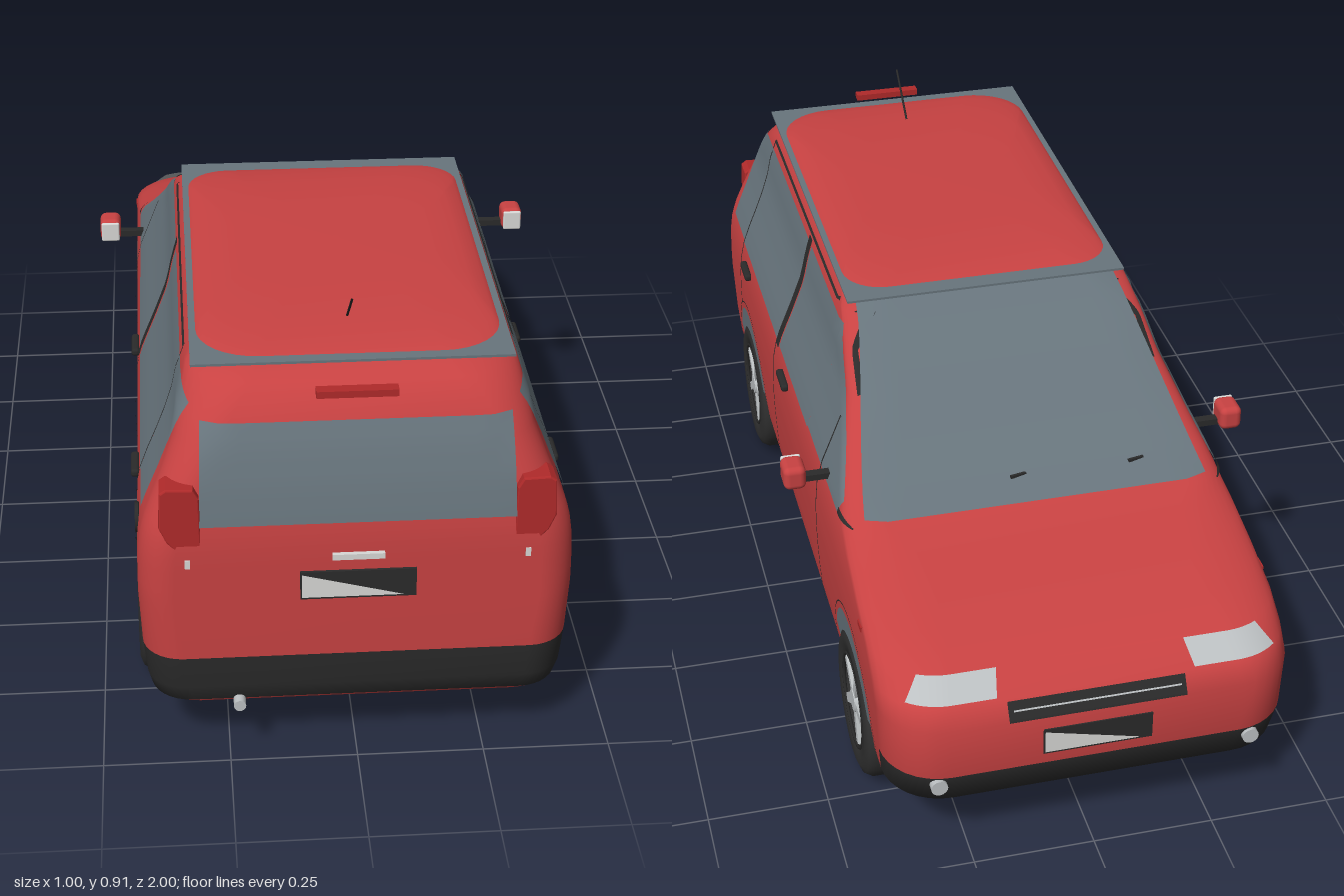
import * as THREE from 'three';
import { RoundedBoxGeometry } from 'three/addons/geometries/RoundedBoxGeometry.js';

const mat = (name, color) => new THREE.MeshStandardMaterial({ name, color, side: THREE.DoubleSide });

// Body as horizontal slices: y, half width, nose z, tail z, nose corner radius, tail corner radius
const SLICES = [
  [.115, .385, -.82, .955, .10, .08], [.13, .4, -.9, .972, .12, .08],
  [.165, .408, -.98, .982, .12, .08], [.235, .415, -1, .985, .12, .08],
  [.35, .42, -1, .985, .12, .07], [.39, .42, -.975, .985, .13, .07],
  [.43, .419, -.92, .985, .14, .07], [.46, .417, -.83, .985, .15, .07],
  [.49, .413, -.72, .984, .15, .07], [.51, .408, -.63, .982, .13, .07],
  [.53, .402, -.56, .98, .09, .07], [.56, .39, -.485, .975, .06, .07],
  [.61, .369, -.4, .965, .05, .07], [.68, .342, -.3, .945, .05, .08],
  [.74, .329, -.21, .92, .05, .1], [.78, .317, -.135, .885, .06, .12],
  [.80, .30, -.085, .845, .08, .12], [.812, .285, -.04, .79, .1, .12],
  [.82, .255, .04, .7, .1, .12], [.825, .2, .15, .55, .1, .1],
];

function sliceAt(y) {
  let i = 0;
  while (i < SLICES.length - 2 && SLICES[i + 1][0] < y) i++;
  const a = SLICES[i], b = SLICES[i + 1];
  const t = THREE.MathUtils.clamp((y - a[0]) / (b[0] - a[0]), 0, 1);
  return a.map((v, k) => v + (b[k] - v) * t);
}
const inset = (r, d) => (d <= 0 ? 0 : r - Math.sqrt(Math.max(0, r * r - d * d)));
function sideX(y, z) {
  const [, w, zf, zr, rf, rr] = sliceAt(y);
  return w - inset(rf, zf + rf - z) - inset(rr, z - zr + rr);
}
function noseZ(y, x) {
  const [, w, zf, , rf] = sliceAt(y);
  return zf + inset(rf, Math.abs(x) - w + rf);
}
function tailZ(y, x) {
  const [, w, , zr, , rr] = sliceAt(y);
  return zr - inset(rr, Math.abs(x) - w + rr);
}

const ARC = 8, SIDE = 6;
function sliceLoop([y, w, zf, zr, rf, rr]) {
  const half = [[0, zr]];
  for (let i = 0; i <= ARC; i++) {
    const a = i / ARC * Math.PI / 2;
    half.push([w - rr + rr * Math.sin(a), zr - rr + rr * Math.cos(a)]);
  }
  for (let i = 1; i < SIDE; i++) half.push([w, THREE.MathUtils.lerp(zr - rr, zf + rf, i / SIDE)]);
  for (let i = 0; i <= ARC; i++) {
    const a = i / ARC * Math.PI / 2;
    half.push([w - rf + rf * Math.cos(a), zf + rf - rf * Math.sin(a)]);
  }
  half.push([0, zf]);
  const mirrored = half.slice(1, -1).reverse().map(([x, z]) => [-x, z]);
  return [...half, ...mirrored].map(([x, z]) => [x, y, z]);
}

// Painted shell: material 0 body, 1 bumper and sill
function shellGeometry() {
  const loops = SLICES.map(sliceLoop), n = loops[0].length;
  const pos = loops.flat(2), lists = [[], []];
  const halfCols = n / 2;
  for (let i = 0; i < loops.length - 1; i++) for (let j = 0; j < n; j++) {
    const y = (SLICES[i][0] + SLICES[i + 1][0]) / 2;
    const c = j < halfCols ? j : n - 1 - j;
    const tail = c <= ARC, nose = c > ARC + SIDE;
    const dark = tail ? y > .13 && y < .235 : nose ? y > .165 && y < .235 : y < .165;
    const k = (j + 1) % n, a = i * n + j, b = i * n + k;
    lists[dark ? 1 : 0].push(a, b, b + n, a, b + n, a + n);
  }
  // Roof crown
  const top = (loops.length - 1) * n, mid = pos.length / 3;
  pos.push(0, .826, .35);
  for (let j = 0; j < n; j++) lists[0].push(top + j, top + (j + 1) % n, mid);
  const g = new THREE.BufferGeometry();
  g.setAttribute('position', new THREE.Float32BufferAttribute(pos, 3));
  g.setIndex([...lists[0], ...lists[1]]);
  g.addGroup(0, lists[0].length, 0);
  g.addGroup(lists[0].length, lists[1].length, 1);
  g.computeVertexNormals();
  return g;
}

// Thin sheet from a function of u, v in 0..1
function sheet(nu, nv, f) {
  const pos = [], idx = [];
  for (let i = 0; i <= nu; i++) for (let j = 0; j <= nv; j++) {
    pos.push(...f(i / nu, j / nv));
    if (i < nu && j < nv) {
      const a = i * (nv + 1) + j, b = a + nv + 1;
      idx.push(a, b, b + 1, a, b + 1, a + 1);
    }
  }
  const g = new THREE.BufferGeometry();
  g.setAttribute('position', new THREE.Float32BufferAttribute(pos, 3));
  g.setIndex(idx);
  g.computeVertexNormals();
  return g;
}

export function createModel() {
  const car = new THREE.Group();
  const red = mat('body red', 0xc84242), glass = mat('window grey', 0x68757d), black = mat('trim black', 0x2a2a2a);
  const tyreMat = mat('tyre black', 0x303030), floorMat = mat('underside black', 0x1c1c1c);
  const lampRed = mat('lamp red', 0xb02a2a), silver = mat('silver', 0xbcc0c2), white = mat('plate white', 0xd8d8d6);
  const add = (name, geo, m, x = 0, y = 0, z = 0, parent = car) => {
    const mesh = new THREE.Mesh(geo, m);
    mesh.name = name;
    mesh.position.set(x, y, z);
    parent.add(mesh);
    return mesh;
  };
  const box = (name, m, w, h, d, x, y, z, parent) => add(name, new THREE.BoxGeometry(w, h, d), m, x, y, z, parent);
  const { lerp } = THREE.MathUtils;

  // Shell, floor and roof frame
  add('bodyShell', shellGeometry(), [red, black]);
  const floorShape = new THREE.Shape(sliceLoop(SLICES[0]).map(([x, , z]) => new THREE.Vector2(x, z)));
  add('floor', new THREE.ShapeGeometry(floorShape), floorMat, 0, .115, 0).rotation.x = Math.PI / 2;
  box('roofFrame', glass, .615, .005, .96, 0, .802, .37);
  box('frontLip', black, .72, .006, .12, 0, .117, -.81);

  // Panels lying on the nose and tail
  const nosePanel = (name, m, xa, xb, y0, y1, o = .004) => add(name, sheet(16, 12, (u, v) => {
    const x = lerp(xa(v), xb(v), u), y = lerp(y0, y1, v);
    return [x, y + o, noseZ(y, x) - o];
  }), m);
  nosePanel('windscreen', glass, v => lerp(-.365, -.285, v), v => lerp(.365, .285, v), .535, .795);
  nosePanel('grille', black, () => -.18, () => .18, .348, .385, .003);
  nosePanel('grilleBar', silver, () => -.17, () => .17, .366, .369, .005);
  add('rearWindow', sheet(16, 8, (u, v) => {
    const x = lerp(-.3, .3, u) * lerp(1, .98, v), y = lerp(.53, .722, v);
    return [x, y, tailZ(y, x) + .005];
  }), glass);

  // Both sides
  const aPillar = z => Math.min(.765, .765 + .64 * (z + .13));
  for (const s of [1, -1]) {
    const sidePanel = (name, m, z0, z1, lo, hi, o = .004) => add(name, sheet(12, 10, (u, v) => {
      const z = lerp(z0, z1, u), y = lerp(lo(z), hi(z), v);
      return [s * (sideX(y, z) + o), y, z];
    }), m);
    const at = y => () => y;
    sidePanel('rearSideWindow', glass, .88, .735, at(.52), z => .765 - Math.max(0, z - .8) * .3);
    sidePanel('rearDoorWindow', glass, .735, .25, at(.515), at(.765));
    sidePanel('frontDoorWindow', glass, .22, -.13, at(.515), at(.765));
    sidePanel('frontQuarterWindow', glass, -.13, -.47, at(.52), aPillar);
    sidePanel('centrePillar', black, .25, .22, at(.51), at(.78), .006);
    sidePanel('cowlCorner', black, -.47, -.54, at(.523), z => .535 + (z + .47) * .15, .006);
    for (const [z, lo, hi] of [[.73, .34, .785], [.25, .16, .51], [-.29, .16, .69]])
      sidePanel('doorGap', black, z + .003, z - .003, at(lo), at(hi), .005);
    sidePanel('doorTopGap', black, .73, -.12, at(.782), at(.787), .005);
    sidePanel('pillarGap', black, -.12, -.29, z => aPillar(z) + .018, z => aPillar(z) + .023, .005);
    for (const z of [.65, .13]) add('doorHandle', new RoundedBoxGeometry(.018, .018, .08, 2, .007), black, s * .421, .478, z);
    box('sideIndicator', lampRed, .006, .012, .03, s * .418, .435, -.74);

    // Wheel arches and wheels
    for (const z0 of [.63, -.64]) {
      const arch = (name, m, r0, r1, a0, a1, o) => add(name, sheet(24, 2, (u, v) => {
        const a = lerp(a0, a1, u), r = lerp(r0, r1, v);
        const y = .165 + r * Math.sin(a), z = z0 + r * Math.cos(a);
        return [s * (sideX(y, z) + o), y, z];
      }), m);
      arch('archGap', glass, .14, .192, .4, Math.PI - .4, .003);
      arch('archLine', black, .206, .209, .05, Math.PI - .05, .003);
      const wheel = new THREE.Group();
      wheel.name = z0 > 0 ? 'rearWheel' : 'frontWheel';
      wheel.position.set(s * .378, .162, z0);
      wheel.rotation.z = -s * Math.PI / 2;
      car.add(wheel);
      const tyre = [[.1, -.045], [.135, -.047], [.152, -.04], [.161, -.025], [.161, .025], [.152, .04], [.135, .047], [.104, .044], [.1, .03]];
      add('tyre', new THREE.LatheGeometry(tyre.map(p => new THREE.Vector2(...p)), 40), tyreMat, 0, 0, 0, wheel);
      add('rimBack', new THREE.CylinderGeometry(.102, .102, .06, 32), s > 0 ? black : silver, 0, .001, 0, wheel);
      add('rimEdge', new THREE.TorusGeometry(.1, .004, 6, 36), s > 0 ? black : silver, 0, .042, 0, wheel).rotation.x = Math.PI / 2;
      add('hub', new THREE.CylinderGeometry(.024, .028, .012, 16), silver, 0, .038, 0, wheel);
      for (let i = 0; i < 5; i++) {
        const spoke = new THREE.Group();
        spoke.name = 'spoke';
        spoke.rotation.y = i / 5 * Math.PI * 2 + .3;
        wheel.add(spoke);
        box('spokeBar', silver, .078, .01, .02, .058, .037, 0, spoke);
      }
    }

    // Mirrors
    box('mirrorArm', black, .09, .014, .02, s * .42, .535, -.345);
    add('mirrorHousing', new RoundedBoxGeometry(.048, .054, .062, 3, .014), red, s * .478, .55, -.347);
    add('mirrorGlass', new RoundedBoxGeometry(.042, .046, .008, 2, .004), white, s * .478, .55, -.315);

    // Lamps
    nosePanel('headlamp', silver, v => s * lerp(.2, .19, v), v => s * lerp(.375, .345, v), .392, .428, .008);
    const fog = add('fogLamp', new THREE.CylinderGeometry(.017, .017, .02, 16), silver, s * .32, .215, noseZ(.215, .32) - .002);
    fog.rotation.x = Math.PI / 2;
    const tail = new THREE.Shape([[.3, .465], [.325, .46], [.36, .5], [.373, .53], [.37, .603], [.36, .61], [.312, .608], [.302, .59]]
      .map(([x, y]) => new THREE.Vector2(s * x, y)));
    add('tailLamp', new THREE.ExtrudeGeometry(tail, { depth: .05, bevelSize: .003, bevelThickness: .004, bevelSegments: 2 }), lampRed, 0, 0, .93);
    box('reverseLamp', white, .01, .018, .006, s * .324, .451, .985);
  }
  add('fuelCap', new THREE.CylinderGeometry(.03, .03, .008, 24), black, -.418, .465, .83).rotation.z = Math.PI / 2;

  // Number plates, blank with a light wedge
  for (const [y, z, turn] of [[.396, .988, 0], [.29, -1, Math.PI]]) {
    const plate = new THREE.Group();
    plate.name = 'numberPlate';
    plate.position.set(0, y, z);
    plate.rotation.y = turn;
    car.add(plate);
    box('plateBack', black, .222, .06, .006, 0, 0, 0, plate);
    const wedge = new THREE.Shape([[-.108, .025], [-.108, -.026], [.088, -.026]].map(p => new THREE.Vector2(...p)));
    add('plateWedge', new THREE.ShapeGeometry(wedge), white, 0, 0, .004, plate);
  }

  // Tailgate fittings, exhaust, aerial and wipers
  box('tailgateHandle', white, .1, .012, .012, 0, .459, .988);
  box('highBrakeLamp', lampRed, .154, .014, .024, 0, .782, .933);
  add('exhaust', new THREE.CylinderGeometry(.012, .012, .12, 16), silver, -.23, .128, .937).rotation.x = Math.PI / 2;
  const aerial = new THREE.LineCurve3(new THREE.Vector3(0, .82, .695), new THREE.Vector3(0, .905, .8));
  add('aerial', new THREE.TubeGeometry(aerial, 1, .0025, 6), black);
  for (const x of [-.225, .03]) box('wiper', black, .035, .006, .006, x, .565, -.49).rotation.y = .2;
  return car;
}
